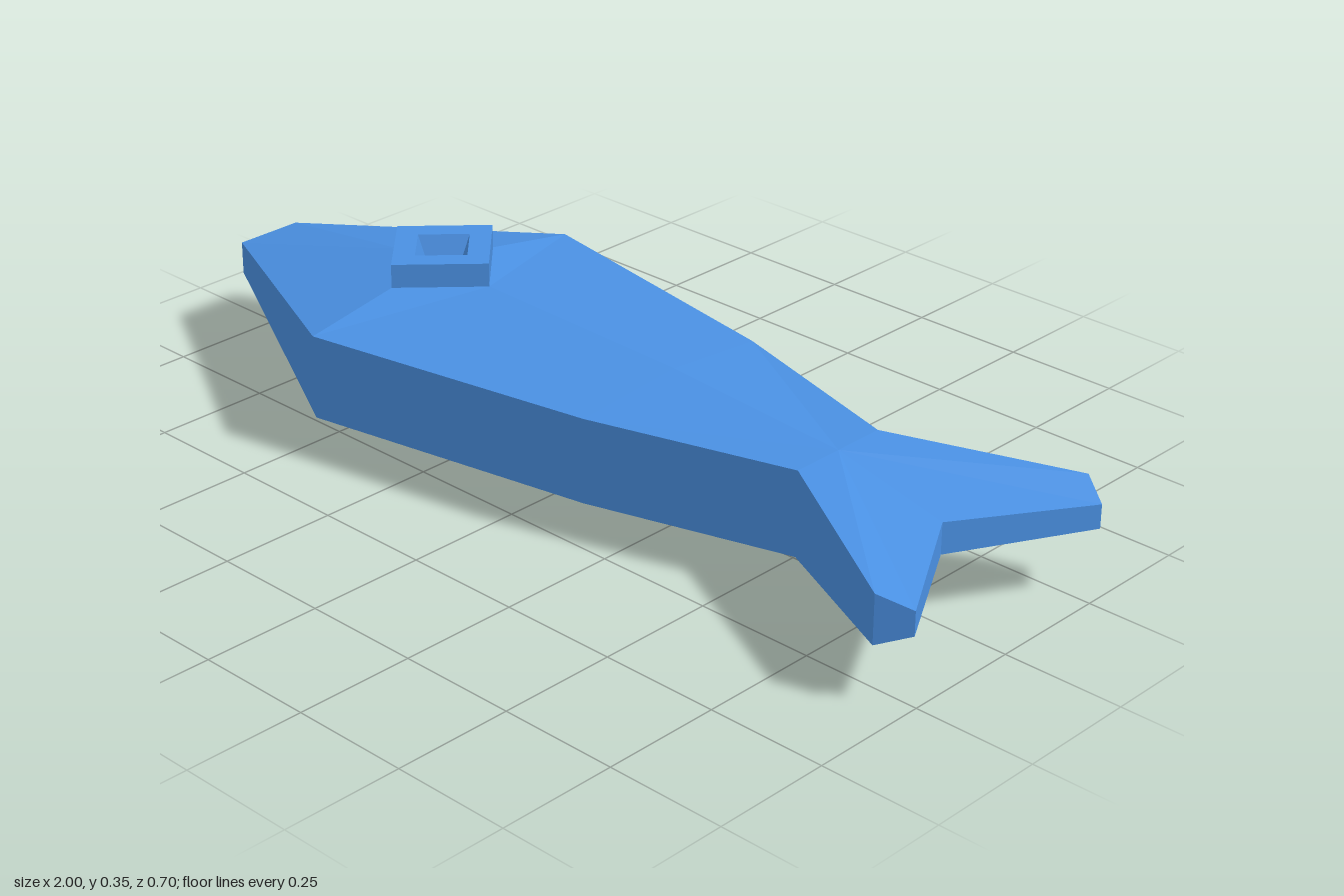
import * as THREE from 'three';

const MID = 0.175; // height of the horizontal symmetry plane

// Quarter body (z >= 0, above the mid plane): x, height above mid, z
const P = {
  nose: [-1, 0.035, 0], noseSide: [-1, 0.035, 0.075],
  shoulder: [-0.45, 0.089, 0.35], flank: [0.18, 0.089, 0.235], waist: [0.6, 0.089, 0.112],
  finTip: [0.94, 0.051, 0.303], finEnd: [1, 0.025, 0.265], notch: [0.845, 0.033, 0],
  eyeFront: [-0.585, 0.125, 0], eyeSide: [-0.45, 0.125, 0.14], eyeBack: [-0.315, 0.125, 0],
  ridge: [0.19, 0.115, 0], tailRoot: [0.6, 0.089, 0],
};
const outline = ['nose', 'noseSide', 'shoulder', 'flank', 'waist', 'finTip', 'finEnd', 'notch'];
const topFaces = [
  ['nose', 'noseSide', 'eyeFront'], ['noseSide', 'eyeSide', 'eyeFront'], ['noseSide', 'shoulder', 'eyeSide'],
  ['shoulder', 'eyeBack', 'eyeSide'], ['shoulder', 'ridge', 'eyeBack'], ['shoulder', 'flank', 'ridge'],
  ['flank', 'tailRoot', 'ridge'], ['flank', 'waist', 'tailRoot'],
  ['waist', 'finTip', 'tailRoot'], ['finTip', 'finEnd', 'tailRoot'], ['finEnd', 'notch', 'tailRoot'],
  ['eyeFront', 'eyeSide', 'eyeBack'],
];

function bodyGeometry() {
  const pos = [];
  const add = (tri, sy, sz) => {
    const t = sy * sz < 0 ? [tri[0], tri[2], tri[1]] : tri;
    for (const [x, y, z] of t) pos.push(x, y * sy, z * sz);
  };
  // Mirror the quarter across both symmetry planes
  for (const sz of [1, -1]) {
    for (const sy of [1, -1]) {
      for (const f of topFaces) add(f.map((n) => P[n]), sy, sz);
    }
    // Vertical rim around the silhouette
    for (let i = 0; i < outline.length - 1; i++) {
      const a = P[outline[i]], b = P[outline[i + 1]];
      const a0 = [a[0], -a[1], a[2]], b0 = [b[0], -b[1], b[2]];
      add([a0, b0, b], 1, sz);
      add([a0, b, a], 1, sz);
    }
  }
  const g = new THREE.BufferGeometry();
  g.setAttribute('position', new THREE.Float32BufferAttribute(pos, 3));
  g.computeVertexNormals();
  return g;
}

export function createModel() {
  const model = new THREE.Group();
  model.name = 'fish';
  const blue = new THREE.MeshStandardMaterial({ color: 0x4a90e2, flatShading: true });

  const body = new THREE.Mesh(bodyGeometry(), blue);
  body.name = 'body';
  body.position.y = MID;
  model.add(body);

  // Raised diamond eyes with a tapered recess, one on each broad side
  const profile = [[0.135, 0.12], [0.135, 0.175], [0.073, 0.175], [0.05, 0.127], [0, 0.127]]
    .map(([r, y]) => new THREE.Vector2(r, y));
  const eyeGeometry = new THREE.LatheGeometry(profile, 4);
  ['upperEye', 'lowerEye'].forEach((name, i) => {
    const eye = new THREE.Mesh(eyeGeometry, blue);
    eye.name = name;
    eye.position.set(-0.45, MID, 0);
    eye.scale.z = 1.04;
    eye.rotation.x = i * Math.PI;
    model.add(eye);
  });
  return model;
}
